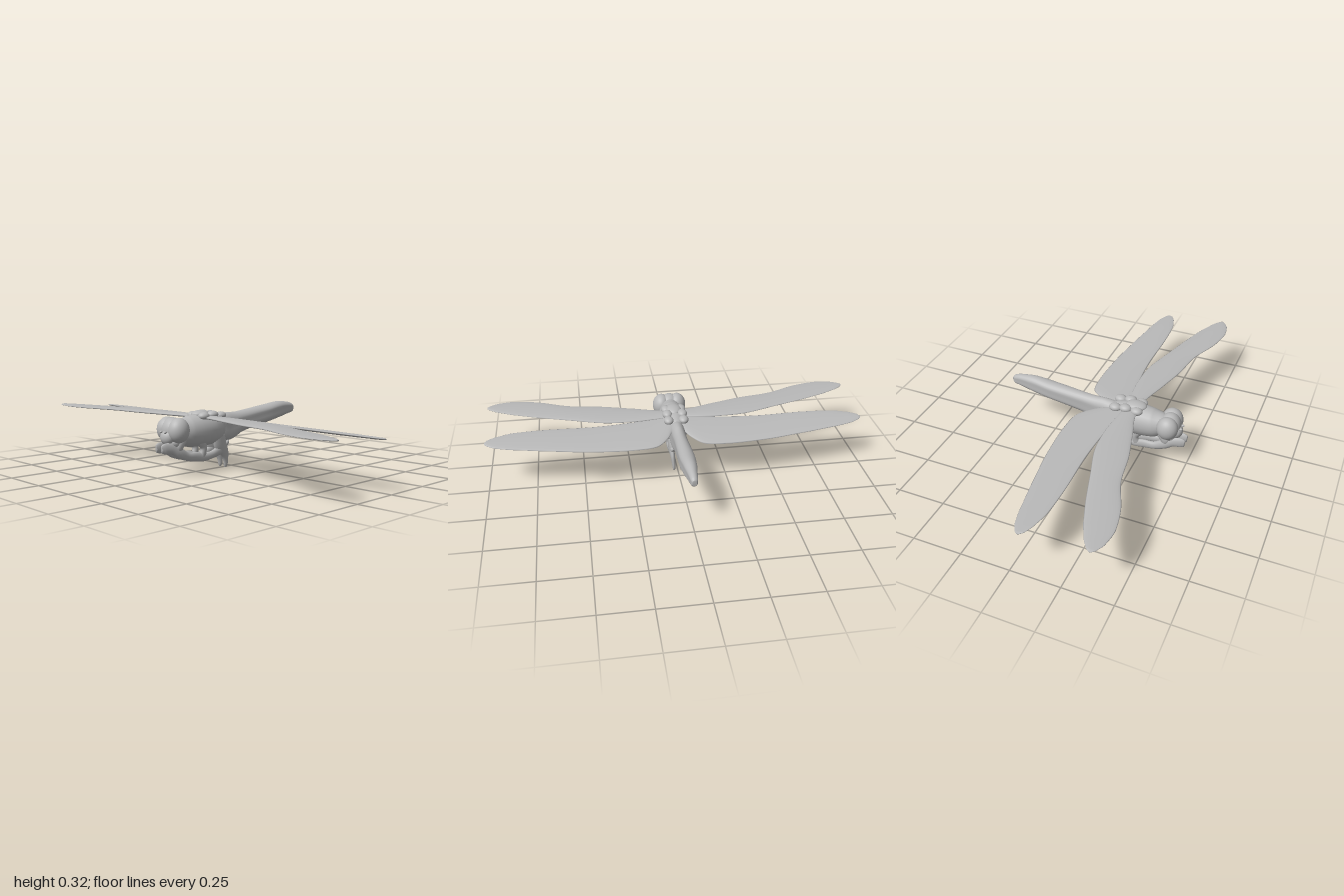
import * as THREE from 'three';

const V = (x, y, z) => new THREE.Vector3(x, y, z);

// Smooth body through stations [x, y, z, half width along side, half height]; shape(angle) scales each ring.
function loft(stations, side, steps = 40, sides = 24, shape = () => 1) {
  const path = new THREE.CatmullRomCurve3(stations.map(s => V(s[0], s[1], s[2])));
  const size = new THREE.CatmullRomCurve3(stations.map(s => V(s[3], s[4], 0)), false, 'catmullrom', 0.4);
  const pos = [], idx = [];
  for (let i = 0; i <= steps; i++) {
    const c = path.getPoint(i / steps), r = size.getPoint(i / steps);
    const n = side.clone().cross(path.getTangent(i / steps)).normalize();
    for (let j = 0; j < sides; j++) {
      const a = j / sides * Math.PI * 2, k = shape(a);
      const p = c.clone().addScaledVector(side, Math.cos(a) * r.x * k).addScaledVector(n, Math.sin(a) * r.y);
      pos.push(p.x, p.y, p.z);
    }
  }
  for (let i = 0; i < steps; i++) {
    for (let j = 0; j < sides; j++) {
      const a = i * sides + j, b = i * sides + (j + 1) % sides;
      idx.push(a, a + sides, b, b, a + sides, b + sides);
    }
  }
  // end caps
  const last = steps * sides;
  for (let j = 1; j < sides - 1; j++) idx.push(0, j, j + 1, last, last + j + 1, last + j);
  const g = new THREE.BufferGeometry();
  g.setAttribute('position', new THREE.Float32BufferAttribute(pos, 3));
  g.setIndex(idx);
  g.computeVertexNormals();
  return g;
}

export function createModel() {
  const model = new THREE.Group();
  model.name = 'dragonfly';
  const grey = new THREE.MeshStandardMaterial({ color: 0xb8b8b8 });
  grey.name = 'grey';
  const X = V(1, 0, 0);
  const add = (name, geometry) => {
    const m = new THREE.Mesh(geometry, grey);
    m.name = name;
    model.add(m);
    return m;
  };
  const blob = (name, x, y, z, rx, ry, rz) => {
    const m = add(name, new THREE.SphereGeometry(1, 28, 20));
    m.position.set(x, y, z);
    m.scale.set(rx, ry, rz);
    return m;
  };
  // stations [z, bottom, top, half width] on the centre line
  const body = list => list.map(([z, lo, hi, w]) => [0, (lo + hi) / 2, z, w, (hi - lo) / 2]);

  // abdomen, with a shallow groove along each flank
  add('abdomen', loft(body([
    [0.14, 0.16, 0.27, 0.04], [0.08, 0.14, 0.283, 0.045], [0.02, 0.14, 0.287, 0.042],
    [-0.06, 0.172, 0.287, 0.04], [-0.16, 0.192, 0.297, 0.043], [-0.27, 0.21, 0.308, 0.045],
    [-0.36, 0.226, 0.317, 0.038], [-0.44, 0.241, 0.309, 0.026], [-0.475, 0.248, 0.298, 0.02],
    [-0.487, 0.258, 0.288, 0.012],
  ]), X, 60, 32, a => 1 - 0.16 * Math.exp(-Math.pow((Math.abs(Math.sin(a)) - 0.1) / 0.28, 2))));

  // thorax
  add('thorax', loft(body([
    [0.40, 0.18, 0.25, 0.03], [0.36, 0.16, 0.275, 0.055], [0.31, 0.135, 0.288, 0.07],
    [0.24, 0.128, 0.295, 0.075], [0.17, 0.13, 0.297, 0.073], [0.11, 0.145, 0.287, 0.06],
    [0.07, 0.17, 0.27, 0.035],
  ]), X));

  // head, muzzle
  blob('head', 0, 0.225, 0.4, 0.06, 0.065, 0.055);
  blob('face', 0, 0.195, 0.432, 0.04, 0.04, 0.035);
  blob('chin', 0, 0.165, 0.4, 0.045, 0.035, 0.045);
  blob('backPlate', 0, 0.292, 0.215, 0.04, 0.02, 0.055);

  // wings: [x, trailing z, leading z, half thickness]
  const foreWing = [
    [0.02, 0.16, 0.23, 0.009], [0.09, 0.15, 0.24, 0.01], [0.235, 0.138, 0.282, 0.01],
    [0.385, 0.148, 0.322, 0.01], [0.56, 0.2, 0.352, 0.009], [0.72, 0.248, 0.415, 0.008],
    [0.85, 0.294, 0.442, 0.007], [0.94, 0.335, 0.432, 0.006], [0.985, 0.365, 0.41, 0.005],
    [0.999, 0.382, 0.395, 0.003],
  ];
  const hindWing = [
    [0.02, 0.07, 0.18, 0.008], [0.06, -0.01, 0.175, 0.009], [0.12, -0.07, 0.165, 0.009],
    [0.235, -0.085, 0.145, 0.009], [0.45, -0.074, 0.13, 0.008], [0.66, -0.043, 0.135, 0.008],
    [0.85, -0.01, 0.128, 0.007], [0.94, 0.012, 0.105, 0.006], [0.985, 0.035, 0.082, 0.005],
    [0.999, 0.05, 0.064, 0.003],
  ];
  const wing = (name, s, list, height, slope) => {
    const side = V(0, slope, 1).normalize();
    add(name, loft(list.map(([x, back, front, t]) => {
      const z = (back + front) / 2;
      return [s * x, height + slope * z, z, (front - back) / 2, t];
    }), side, 60, 20));
  };

  for (const s of [1, -1]) {
    const label = s > 0 ? 'left' : 'right';
    wing(label + 'ForeWing', s, foreWing, 0.268, 0.035);
    wing(label + 'HindWing', s, hindWing, 0.243, 0.165);

    // eyes and wing joints
    blob(label + 'Eye', s * 0.043, 0.228, 0.397, 0.049, 0.062, 0.056);
    blob(label + 'Antenna', s * 0.016, 0.222, 0.46, 0.006, 0.006, 0.009);
    for (const [z, y] of [[0.23, 0.285], [0.17, 0.288], [0.115, 0.28]])
      blob(label + 'WingJoint', s * 0.04, y, z, 0.026, 0.02, 0.032);

    // legs: [x, y, z, half width, half height]
    const leg = (name, list) => add(label + name, loft(list.map(p => [s * p[0], ...p.slice(1)]), X, 36, 14));
    leg('FrontLeg', [
      [0.021, 0.14, 0.488, 0.006, 0.02], [0.023, 0.143, 0.465, 0.011, 0.028],
      [0.027, 0.137, 0.42, 0.014, 0.027], [0.03, 0.113, 0.38, 0.016, 0.027],
      [0.03, 0.09, 0.33, 0.014, 0.022], [0.029, 0.083, 0.27, 0.012, 0.024],
      [0.029, 0.075, 0.22, 0.012, 0.022], [0.029, 0.083, 0.16, 0.013, 0.02],
      [0.028, 0.1, 0.11, 0.014, 0.026], [0.026, 0.11, 0.075, 0.01, 0.018],
    ]);
    leg('FrontHip', [[0.03, 0.18, 0.36, 0.018, 0.025], [0.031, 0.145, 0.385, 0.017, 0.024], [0.028, 0.11, 0.38, 0.012, 0.02]]);
    leg('MiddleHip', [[0.032, 0.16, 0.24, 0.02, 0.03], [0.031, 0.12, 0.225, 0.016, 0.018], [0.029, 0.08, 0.23, 0.012, 0.02]]);
    leg('HindLeg', [
      [0.03, 0.175, 0.12, 0.018, 0.04], [0.029, 0.125, 0.105, 0.016, 0.042],
      [0.026, 0.085, 0.075, 0.013, 0.028], [0.022, 0.045, 0.062, 0.01, 0.017],
      [0.02, 0.015, 0.06, 0.008, 0.012], [0.02, 0.002, 0.063, 0.004, 0.006],
    ]);
    leg('HindSpur', [[0.028, 0.12, 0.09, 0.012, 0.018], [0.028, 0.13, 0.06, 0.01, 0.013], [0.026, 0.142, 0.045, 0.005, 0.005]]);
  }
  return model;
}
